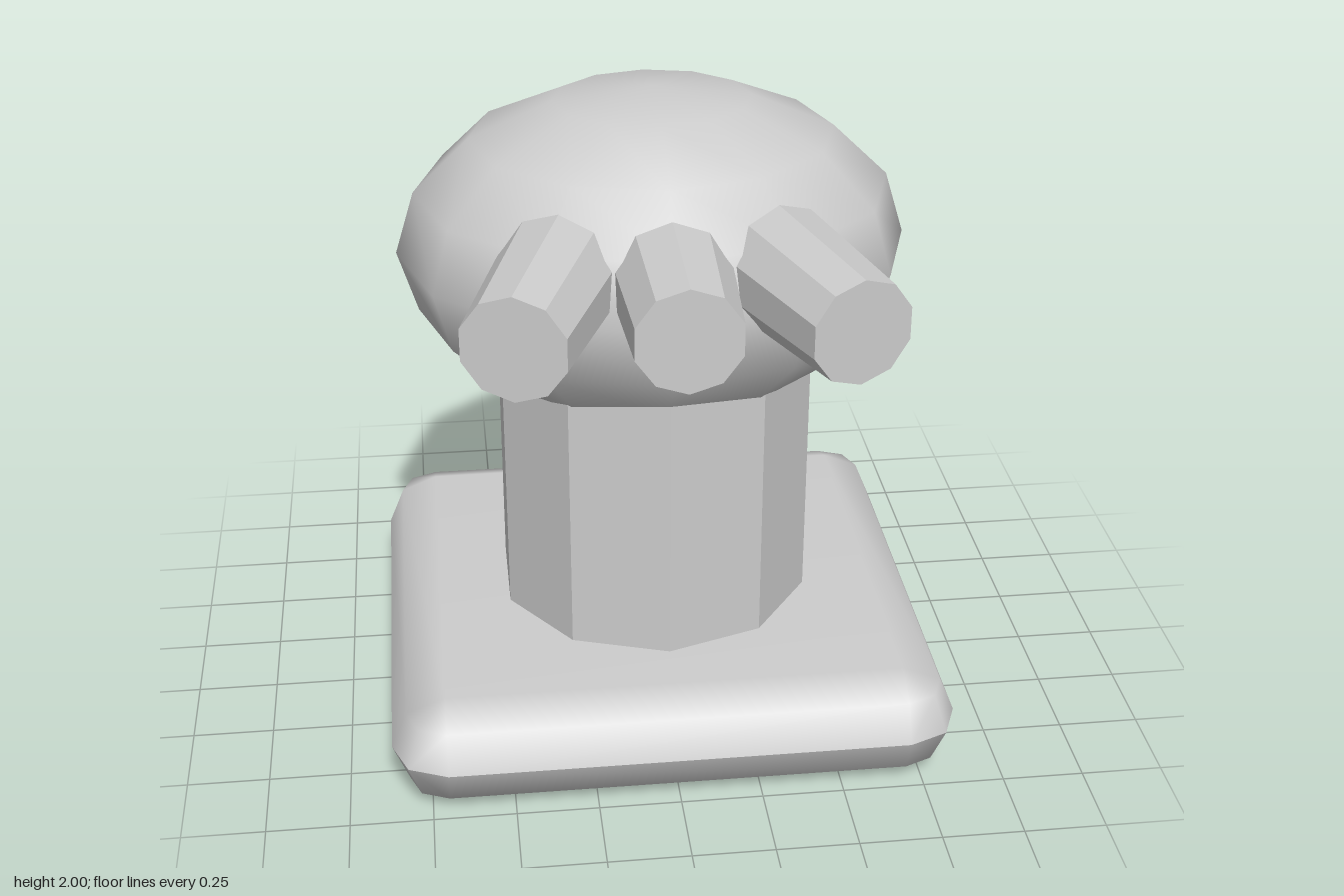
import * as THREE from 'three';
import { mergeVertices } from 'three/addons/utils/BufferGeometryUtils.js';

const CENTER_Z = -0.067; // shared axis of base, column and head

// Faceted cylinder: every side is a flat face
function facetedCylinder(rTop, rBottom, height, sides) {
  const geo = new THREE.CylinderGeometry(rTop, rBottom, height, sides).toNonIndexed();
  geo.computeVertexNormals();
  return geo;
}

// Upper (s = 1) or lower (s = -1) half of a slab with rounded edges, from rings stacked outwards
function slabHalf(s, halfX, halfZ, r) {
  const ix = halfX - r, iz = halfZ - r, n = 12;
  const pos = [], index = [];
  const tri = (a, b, c) => (s > 0 ? index.push(a, b, c) : index.push(a, c, b));
  for (let level = 0; level < 3; level++) {
    const v = level * Math.PI / 4;
    for (let k = 0; k < 4; k++) {
      const sx = k === 0 || k === 3 ? 1 : -1, sz = k < 2 ? 1 : -1;
      for (let j = 0; j < 3; j++) {
        const a = k * Math.PI / 2 + j * Math.PI / 4, out = r * Math.cos(v);
        pos.push(sx * ix + out * Math.cos(a), s * r * Math.sin(v), sz * iz + out * Math.sin(a));
      }
    }
  }
  for (let level = 0; level < 2; level++) {
    for (let i = 0; i < n; i++) {
      const a = level * n + i, b = level * n + (i + 1) % n;
      tri(a, a + n, b);
      // the last ring shrinks to four corners, so skip its empty triangles
      if (level === 0 || i % 3 === 2) tri(b, a + n, b + n);
    }
  }
  const t = 2 * n; // flat face
  tri(t, t + 9, t + 6);
  tri(t, t + 6, t + 3);
  let geo = new THREE.BufferGeometry();
  geo.setAttribute('position', new THREE.Float32BufferAttribute(pos, 3));
  geo.setIndex(index);
  geo = mergeVertices(geo, 1e-4);
  geo.computeVertexNormals();
  return geo;
}

export function createModel() {
  const group = new THREE.Group();
  const gray = new THREE.MeshStandardMaterial({ color: 0xcccccc });
  gray.name = 'light gray';
  const add = (name, geo, x, y, z, parent = group) => {
    const mesh = new THREE.Mesh(geo, gray);
    mesh.name = name;
    mesh.position.set(x, y, z);
    parent.add(mesh);
    return mesh;
  };

  // Base slab, with a crease around its middle
  const base = new THREE.Group();
  base.name = 'base';
  group.add(base);
  add('baseTop', slabHalf(1, 0.866, 0.833, 0.167), 0, 0.167, CENTER_Z, base);
  add('baseBottom', slabHalf(-1, 0.866, 0.833, 0.167), 0, 0.167, CENTER_Z, base);

  // Ten-sided column
  add('column', facetedCylinder(0.5, 0.5, 1.0, 10), 0, 0.8, CENTER_Z);

  // Smooth flattened head
  const headGeo = new THREE.SphereGeometry(1, 12, 8);
  headGeo.scale(0.775, 0.5, 0.65);
  add('head', headGeo, 0, 1.5, CENTER_Z);

  // Three tapered barrels, fanned out from the front of the head
  const length = 0.6;
  for (const [name, side] of [['rightBarrel', -1], ['middleBarrel', 0], ['leftBarrel', 1]]) {
    const geo = facetedCylinder(0.155, 0.188, length, 10);
    geo.rotateY(Math.PI); // a corner points straight up once laid down
    geo.translate(0, -length / 2, 0);
    geo.rotateX(Math.PI / 2);
    const barrel = add(name, geo, side * 0.467, 1.607, side ? 0.844 : 0.85);
    barrel.rotation.y = side * THREE.MathUtils.degToRad(18.5);
  }
  return group;
}
